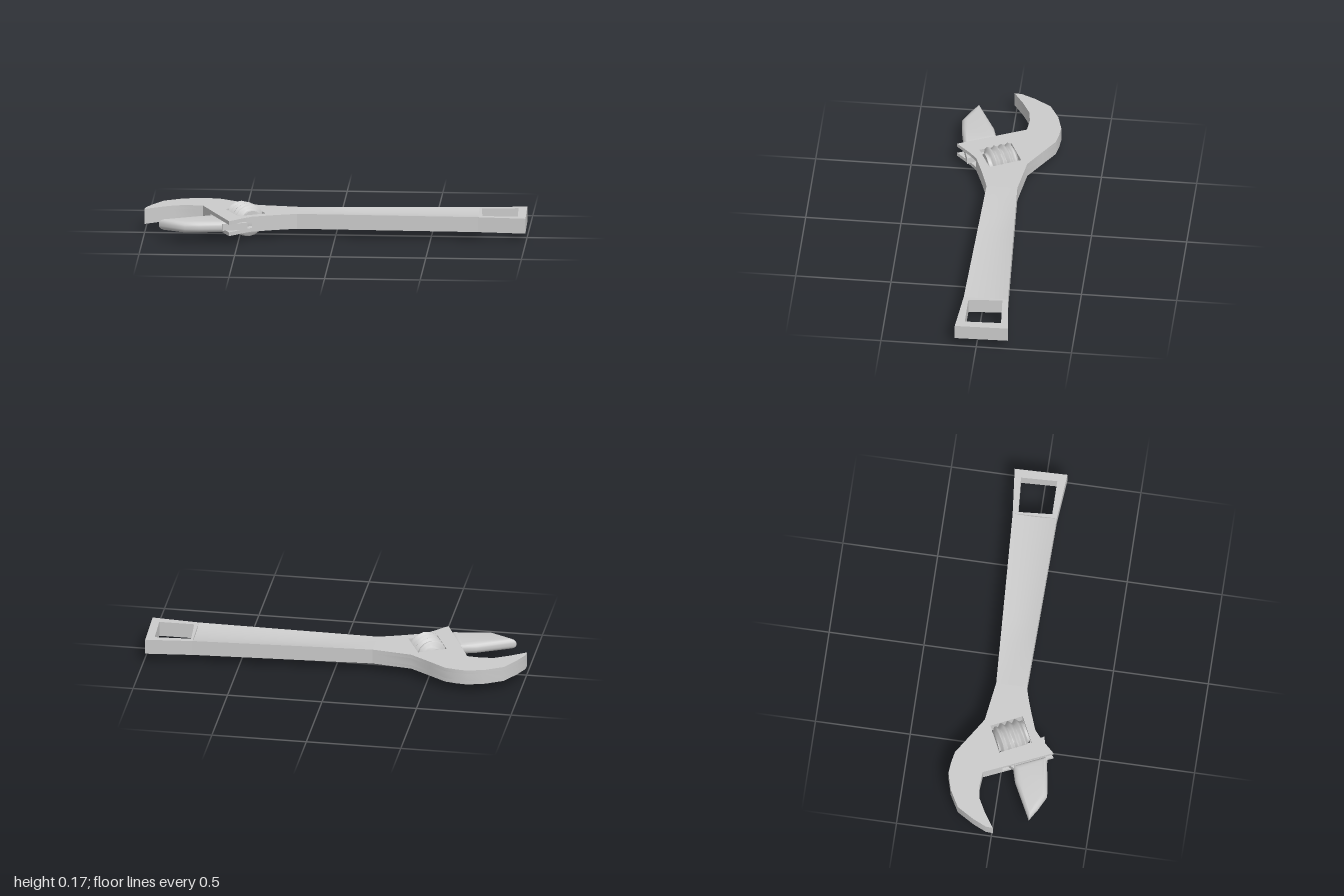
import * as THREE from 'three';
import { toCreasedNormals } from 'three/addons/utils/BufferGeometryUtils.js';

const steel = new THREE.MeshStandardMaterial({ color: 0xcccccc, side: THREE.DoubleSide });
const MID = 0.09; // height of the middle plane

function mesh(name, geometry, parent) {
  const m = new THREE.Mesh(geometry, steel);
  m.name = name;
  parent.add(m);
  return m;
}

// Flat plate from [x, z] corners, spanning y0..y1, with optional hole and rounded bevel
function plate(points, y0, y1, hole, bevel) {
  const toV = ([x, z]) => new THREE.Vector2(x, -z);
  const shape = new THREE.Shape(points.map(toV));
  if (hole) shape.holes.push(new THREE.Path(hole.map(toV)));
  const t = bevel ? bevel.thickness : 0;
  const geo = new THREE.ExtrudeGeometry(shape, {
    depth: y1 - y0 - 2 * t, bevelEnabled: !!bevel, bevelThickness: t,
    bevelSize: bevel ? bevel.size : 0, bevelOffset: bevel ? -bevel.size : 0, bevelSegments: 4,
  });
  geo.rotateX(-Math.PI / 2);
  geo.translate(0, y0 + t, 0);
  return toCreasedNormals(geo, 0.7);
}

export function createModel() {
  const wrench = new THREE.Group();
  wrench.name = 'adjustableWrench';

  // Fixed jaw and neck, running from the handle round to the jaw root
  const fixedJaw = [
    [-0.2, 0.072], [-0.2, -0.09], [-0.41, -0.12], [-0.52, -0.19], [-0.61, -0.248],
    [-0.67, -0.26], [-0.73, -0.265], [-0.82, -0.24], [-0.91, -0.19], [-0.965, -0.1],
    [-0.997, -0.03], [-1, 0.008], [-0.92, -0.045], [-0.845, -0.085], [-0.78, -0.095], [-0.7, -0.088],
  ];
  const neckSide = [[-0.43, 0.15], [-0.33, 0.113], [-0.27, 0.093]];
  const railEnd = [[-0.543, 0.262], [-0.47, 0.185]];
  const window_ = [[-0.363, 0.073], [-0.439, -0.085], [-0.579, -0.018], [-0.503, 0.141]];

  // Head: two cheeks with the worm window, and a core left open for the jaw slot
  const head = new THREE.Group();
  head.name = 'head';
  wrench.add(head);
  const cheek = [...fixedJaw, ...railEnd, ...neckSide];
  for (const [name, y0, y1] of [['lowerCheek', 0.05, 0.07], ['upperCheek', 0.11, 0.13]]) {
    mesh(name, plate(cheek, y0, y1, window_), head);
  }
  const slot = [[-0.655, 0.01], window_[2], window_[1], window_[0]];
  mesh('headCore', plate([...fixedJaw, ...slot, ...neckSide], 0.07, 0.11), head);

  // Handle: widening bar with a shallow hollow along its top and bottom
  const handle = new THREE.BoxGeometry(1, 1, 1, 16, 1, 10);
  const p = handle.attributes.position;
  for (let i = 0; i < p.count; i++) {
    const u = p.getX(i) + 0.5, v = p.getZ(i) + 0.5, s = 2 * v - 1;
    const z = THREE.MathUtils.lerp(
      THREE.MathUtils.lerp(-0.09, -0.14, u), THREE.MathUtils.lerp(0.072, 0.092, u), v);
    const dip = 0.012 * Math.min(1, u * 3) * (1 - s * s);
    p.setXYZ(i, -0.2 + 0.95 * u, MID + Math.sign(p.getY(i)) * (0.04 - dip), z);
  }
  handle.computeVertexNormals();
  mesh('handle', handle, wrench);

  // Handle end with its hanging hole
  mesh('handleEnd', plate(
    [[0.745, -0.14], [0.75, 0.092], [0.998, 0.113], [0.992, -0.165]], 0.05, 0.13,
    [[0.757, -0.112], [0.948, -0.125], [0.955, 0.065], [0.77, 0.065]]), wrench);

  // Sliding jaw with its tongue in the slot
  const slider = new THREE.Group();
  slider.name = 'slidingJaw';
  wrench.add(slider);
  mesh('movableJaw', plate(
    [[-0.915, 0.185], [-0.85, 0.225], [-0.775, 0.262], [-0.7, 0.254], [-0.555, 0.228],
      [-0.632, 0.06], [-0.72, 0.085]], 0.06, 0.12, null, { thickness: 0.024, size: 0.03 }), slider);
  mesh('jawTongue', plate(
    [[-0.66, 0.09], [-0.63, 0.035], [-0.57, 0.01], [-0.45, 0.2], [-0.58, 0.235]], 0.072, 0.108), slider);

  // Worm screw: cylinder whose radius follows a helical thread
  const length = 0.165, pitch = 0.038;
  const worm = new THREE.CylinderGeometry(1, 1, length, 16, 36);
  const w = worm.attributes.position;
  for (let i = 0; i < w.count; i++) {
    const x = w.getX(i), y = w.getY(i), z = w.getZ(i);
    if (Math.hypot(x, z) < 0.5) continue;
    const turn = y / pitch + Math.atan2(z, x) / (2 * Math.PI);
    const ridge = Math.abs(2 * (turn - Math.floor(turn)) - 1);
    const endTaper = Math.min(1, 0.72 + (length / 2 - Math.abs(y)) * 12);
    const r = (0.068 + 0.02 * ridge) * endTaper;
    w.setXYZ(i, x * r, y, z * r);
  }
  const screw = mesh('wormScrew', toCreasedNormals(worm, 0.9), wrench);
  screw.position.set(-0.471, MID, 0.028);
  screw.quaternion.setFromUnitVectors(
    new THREE.Vector3(0, 1, 0), new THREE.Vector3(0.43, 0, 0.9).normalize());

  return wrench;
}
